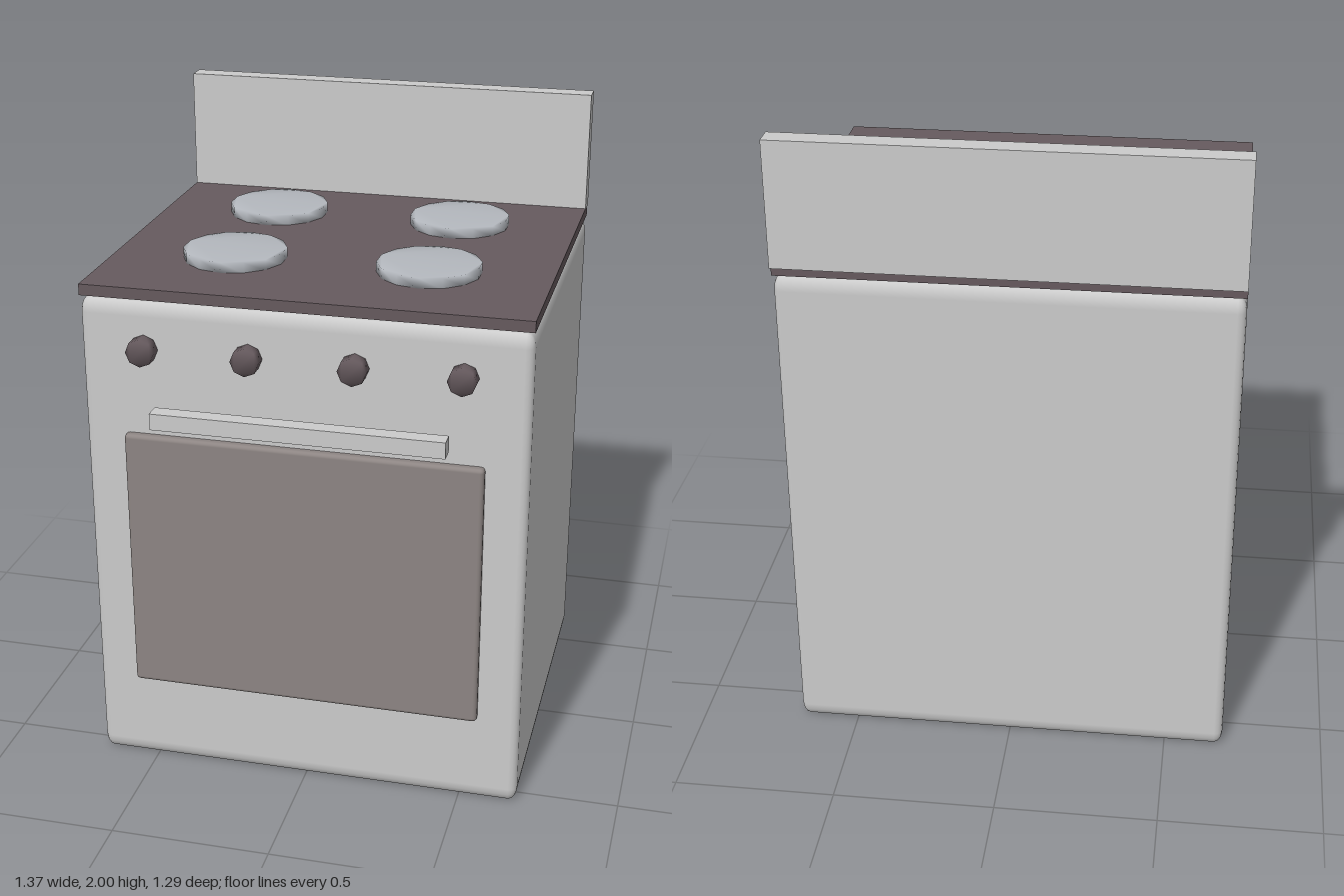
import * as THREE from 'three';
import { mergeVertices } from 'three/addons/utils/BufferGeometryUtils.js';
import { RoundedBoxGeometry } from 'three/addons/geometries/RoundedBoxGeometry.js';

const paint = (color) => new THREE.MeshStandardMaterial({ color });
const enamel = paint(0xcccccc);
const metal = paint(0xe4e6e7);
const plate = paint(0xb4b8be);
const dark = paint(0x665a5e);
const glass = paint(0x8d8583);

// Low-sided disc along z whose normals run smoothly over the rim
function softDisc(radius, depth, sides) {
  const points = Array.from({ length: sides }, (_, i) => {
    const a = (i / sides) * Math.PI * 2;
    return new THREE.Vector2(Math.sin(a) * radius, Math.cos(a) * radius);
  });
  let geo = new THREE.ExtrudeGeometry(new THREE.Shape(points), { depth, bevelEnabled: false });
  geo.deleteAttribute('normal');
  geo.deleteAttribute('uv');
  geo = mergeVertices(geo, 1e-4);
  geo.computeVertexNormals();
  return geo;
}

export function createModel() {
  const stove = new THREE.Group();
  stove.name = 'stove';

  const add = (name, geometry, material, x, y, z) => {
    const mesh = new THREE.Mesh(geometry, material);
    mesh.name = name;
    mesh.position.set(x, y, z);
    stove.add(mesh);
    return mesh;
  };

  // Cabinet, its rounding stretched vertically
  const stretch = 1.8;
  const cabinet = new RoundedBoxGeometry(1.37, 1.575 / stretch, 1.188, 2, 0.026);
  cabinet.scale(1, stretch, 1);
  add('body', cabinet, enamel, 0, 0.7875, -0.03);

  // Cooktop and splash panel behind it
  add('cooktop', new THREE.BoxGeometry(1.37, 0.035, 1.185), dark, 0, 1.597, -0.032);
  add('backsplash', new THREE.BoxGeometry(1.37, 0.39, 0.068), metal, 0, 1.805, -0.61);

  // Four hot plates
  const burner = softDisc(0.161, 0.034, 14).rotateX(-Math.PI / 2);
  for (const x of [-0.306, 0.306]) {
    for (const z of [-0.304, 0.2]) add('burner', burner, plate, x, 1.612, z);
  }

  // Row of control knobs
  const knob = softDisc(0.044, 0.055, 8);
  for (let i = 0; i < 4; i++) add('knob', knob, dark, (i - 1.5) * 0.324, 1.428, 0.552);

  // Oven door and its bar handle
  add('ovenDoor', new RoundedBoxGeometry(1.11, 0.86, 0.06, 2, 0.013), glass, 0, 0.722, 0.559);
  add('doorHandle', new THREE.BoxGeometry(0.9, 0.052, 0.053), metal, 0, 1.227, 0.618);

  return stove;
}
